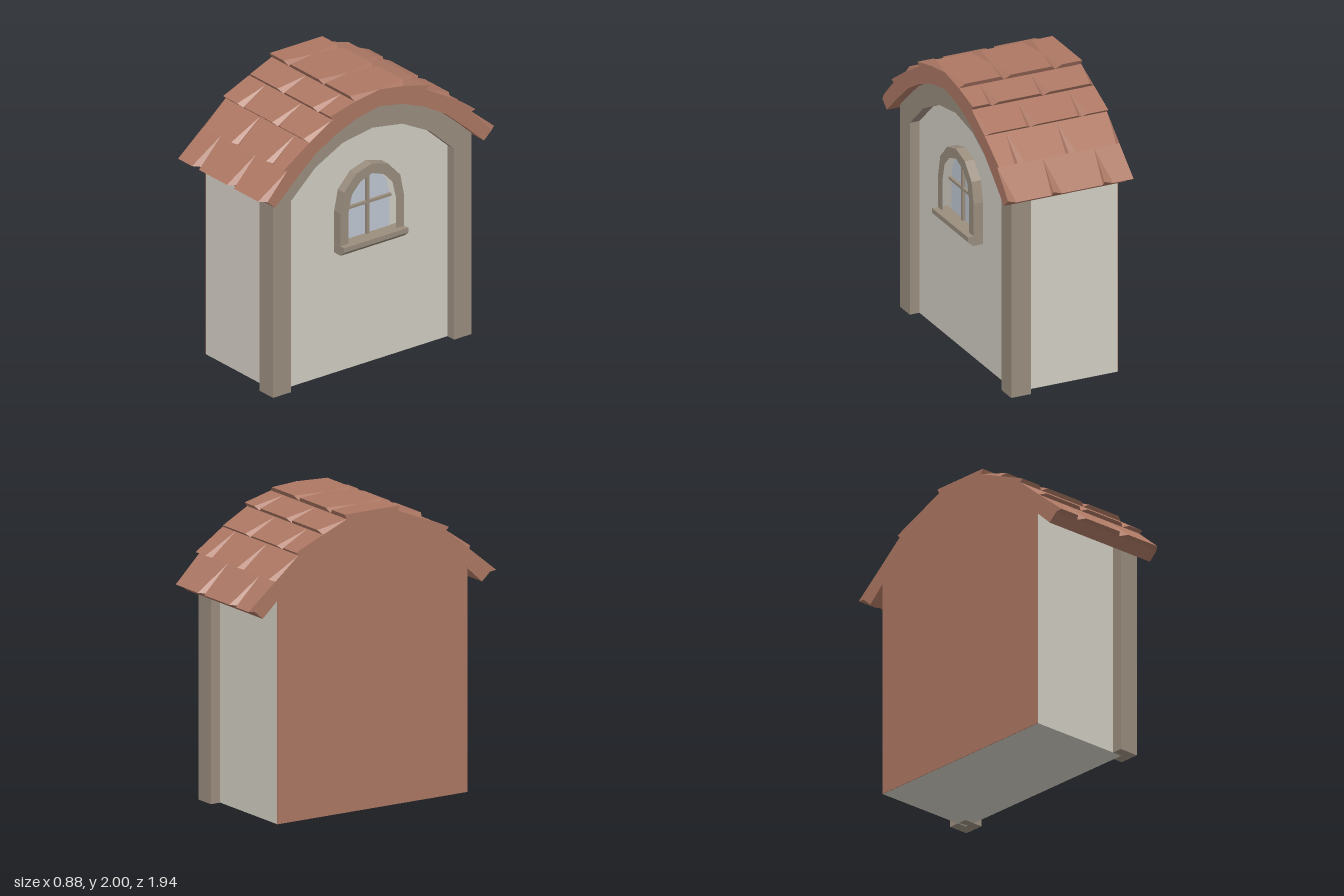
import * as THREE from 'three';

const mat = (name, color) => {
  const m = new THREE.MeshStandardMaterial({ color, flatShading: true });
  m.name = name;
  return m;
};

export function createModel() {
  const root = new THREE.Group();
  root.name = 'archedDormer';
  const plaster = mat('plaster', 0xd2cec4);
  const trim = mat('trim', 0x9a8d7e);
  const clay = mat('clayTile', 0xac7763);
  const glass = mat('glass', 0xc0c8d3);

  const BACK = -0.445, FRONT = 0.44;

  // Half profiles run from the crown (z = 0) outwards; mirror() gives the full arch.
  const mirror = (half) => [...half.slice(1).reverse().map(([z, y]) => [-z, y]), ...half];
  const toShape = (pts) => new THREE.Shape(pts.map(([z, y]) => new THREE.Vector2(z, y)));
  const add = (name, geo, material, parent = root) => {
    const m = new THREE.Mesh(geo, material);
    m.name = name;
    parent.add(m);
    return m;
  };
  // Extrude a symmetric (z, y) outline along x from x0 to x1.
  const slab = (name, pts, x0, x1, material, hole, parent) => {
    const shape = toShape(pts);
    if (hole) shape.holes.push(toShape(hole));
    const geo = new THREE.ExtrudeGeometry(shape, { depth: x1 - x0, bevelEnabled: false });
    geo.rotateY(Math.PI / 2).translate(x0, 0, 0);
    return add(name, geo, material, parent);
  };
  const box = (name, x0, x1, y0, y1, z0, z1, material, parent) =>
    add(name, new THREE.BoxGeometry(x1 - x0, y1 - y0, z1 - z0)
      .translate((x0 + x1) / 2, (y0 + y1) / 2, (z0 + z1) / 2), material, parent);

  // Roof profiles: underside, upper side and the lifted tile edges
  const under = [[0, 1.88], [0.185, 1.845], [0.367, 1.775], [0.54, 1.675], [0.71, 1.53], [0.857, 1.395]];
  const upper = [[0, 2.0], [0.2, 1.968], [0.385, 1.89], [0.577, 1.78], [0.757, 1.63], [0.92, 1.452]];
  const tips = [null, [0.217, 2.0], [0.405, 1.917], [0.598, 1.8], [0.787, 1.64], [0.968, 1.457]];

  // Body, with its tiled-over back face
  const underArch = under.slice(0, 5);
  const body = mirror([...underArch, [0.742, 1.5], [0.742, 0]]);
  slab('wallBody', body, BACK + 0.004, 0.295, plaster);
  slab('backFace', body, BACK, BACK + 0.004, clay);

  // Arched front frame with pillars
  const inner = [[0, 1.7], [0.245, 1.66], [0.47, 1.545], [0.67, 1.362], [0.67, 0]];
  const outer = [...underArch, [0.815, 1.434], [0.815, 0]];
  slab('frontFrame', [...mirror(outer), ...mirror(inner).reverse()], 0.222, 0.365, trim);

  // Roof shell
  slab('roofShell', [...mirror(upper), ...mirror(under).reverse()], BACK, FRONT, clay);

  // Wedge tiles, in staggered rows on both slopes
  const tileRow = (row, side) => {
    const odd = row % 2 === 1;
    const cuts = odd ? [BACK, -0.26, 0.11, FRONT] : [BACK, -0.08, 0.29, FRONT];
    const [a, b, t] = [upper[row - 1], upper[row], tips[row]];
    const pos = [], idx = [];
    for (let i = 0; i < 3; i++) {
      const x0 = cuts[i], x1 = cuts[i + 1], n = i * 6;
      const t0 = x0 + (odd && i === 0 ? 0 : 0.037);
      const t1 = x1 - (!odd && i === 2 ? 0 : 0.037);
      for (const [x, p] of [[x0, a], [x1, a], [x0, b], [x1, b], [t0, t], [t1, t]])
        pos.push(x, p[1], p[0] * side);
      const tris = [[0, 4, 5], [0, 5, 1], [2, 3, 5], [2, 5, 4], [0, 2, 4], [1, 5, 3]];
      for (const [p, q, r] of tris)
        idx.push(n + p, ...(side > 0 ? [n + q, n + r] : [n + r, n + q]));
    }
    let geo = new THREE.BufferGeometry();
    geo.setAttribute('position', new THREE.Float32BufferAttribute(pos, 3));
    geo.setIndex(idx);
    geo = geo.toNonIndexed();
    geo.computeVertexNormals();
    return geo;
  };
  const tiles = new THREE.Group();
  tiles.name = 'roofTiles';
  root.add(tiles);
  for (const side of [1, -1])
    for (let row = 1; row <= 5; row++)
      add((side > 0 ? 'leftTileRow' : 'rightTileRow') + row, tileRow(row, side), clay, tiles);

  // Arched window
  const win = new THREE.Group();
  win.name = 'window';
  root.add(win);
  const wOuter = mirror([[0, 1.445], [0.13, 1.407], [0.23, 1.3], [0.26, 1.155], [0.26, 0.88]]);
  const wInner = mirror([[0, 1.375], [0.095, 1.342], [0.166, 1.268], [0.193, 1.155], [0.193, 0.915]]);
  slab('windowFrame', wOuter, 0.29, 0.363, trim, wInner, win);
  slab('windowPane', wInner, 0.292, 0.299, glass, null, win);
  box('verticalBar', 0.295, 0.32, 0.92, 1.374, -0.009, 0.009, trim, win);
  box('crossBar', 0.295, 0.32, 1.145, 1.163, -0.193, 0.193, trim, win);

  // Sill with a chamfered lower edge, extruded along z
  const sill = toShape([[0.29, 0.86], [0.368, 0.86], [0.405, 0.893], [0.405, 0.927], [0.29, 0.927]]);
  add('windowSill', new THREE.ExtrudeGeometry(sill, { depth: 0.526, bevelEnabled: false })
    .translate(0, 0, -0.263), trim, win);

  return root;
}
